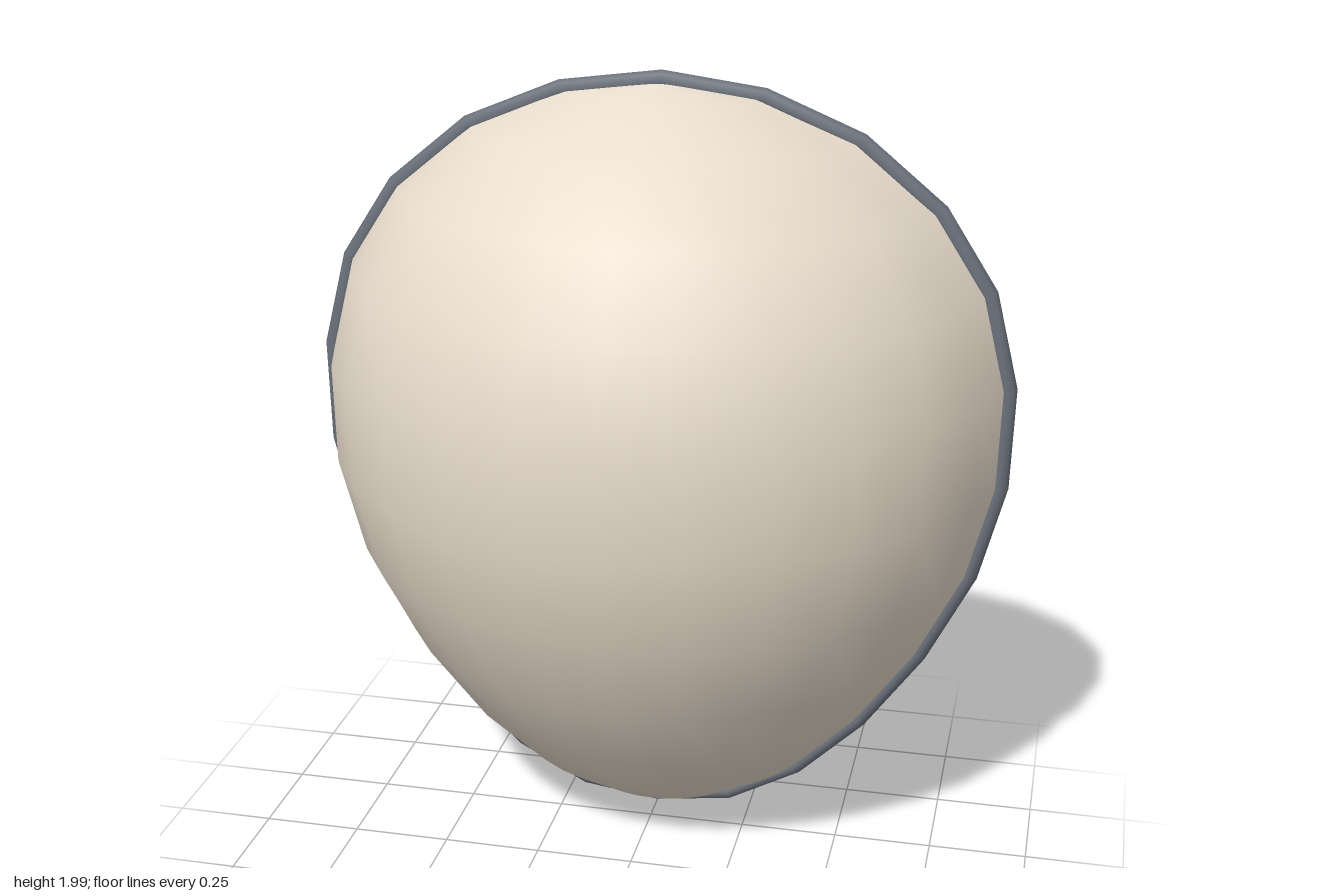
import * as THREE from 'three';

// Rows from top to bottom: [height, half width at the rim, z of the front centre line]
const RIM_Z = -0.34;
const AXIS_Z = -0.485;
const ROWS = [
  [1.975, 0, RIM_Z], [1.942, 0.25, -0.2], [1.845, 0.485, 0], [1.685, 0.68, 0.18],
  [1.49, 0.807, 0.31], [1.255, 0.867, 0.365], [1.0, 0.862, 0.36], [0.755, 0.8, 0.3],
  [0.52, 0.682, 0.18], [0.315, 0.535, 0.04], [0.157, 0.372, -0.11], [0.06, 0.195, -0.25],
  [0.034, 0, RIM_Z],
];

// Egg-shaped bowl: every row is an elliptical arc that ends on the rim plane
function shellGeometry(segments = 12) {
  const positions = [];
  const indices = [];
  for (const [y, halfWidth, frontZ] of ROWS) {
    const depth = frontZ - AXIS_Z;
    const limit = Math.acos(Math.min(1, (RIM_Z - AXIS_Z) / depth));
    const radius = halfWidth > 0 ? halfWidth / Math.sin(limit) : 0;
    for (let j = 0; j <= segments; j++) {
      const a = limit * (2 * j / segments - 1);
      positions.push(radius * Math.sin(a), y, AXIS_Z + depth * Math.cos(a));
    }
  }
  const stride = segments + 1;
  const last = ROWS.length - 2;
  for (let i = 0; i <= last; i++) {
    for (let j = 0; j < segments; j++) {
      const a = i * stride + j;
      const b = a + stride;
      if (i < last) indices.push(a, b, b + 1);
      if (i > 0) indices.push(a, b + 1, a + 1);
      if (i === last) indices.push(a, b, a + 1);
    }
  }
  const geometry = new THREE.BufferGeometry();
  geometry.setAttribute('position', new THREE.Float32BufferAttribute(positions, 3));
  geometry.setIndex(indices);
  geometry.computeVertexNormals();
  return geometry;
}

// Round bead following the open edge, with one joint at each row end
function rimGeometry() {
  const right = ROWS.map(([y, x]) => new THREE.Vector3(x, y, RIM_Z));
  const left = ROWS.slice(1, -1).reverse().map(([y, x]) => new THREE.Vector3(-x, y, RIM_Z));
  const points = [...right, ...left];
  const curve = new THREE.CatmullRomCurve3(points, true);
  curve.getPointAt = (t, target) => curve.getPoint(t, target);
  curve.getTangentAt = (t, target) => curve.getTangent(t, target);
  return new THREE.TubeGeometry(curve, points.length, 0.025, 8, true);
}

export function createModel() {
  const model = new THREE.Group();
  model.name = 'eggShapedBowl';

  const shell = new THREE.Mesh(
    shellGeometry(),
    new THREE.MeshStandardMaterial({ color: 0xe8dccb, side: THREE.DoubleSide }),
  );
  shell.name = 'shell';

  const rim = new THREE.Mesh(rimGeometry(), new THREE.MeshStandardMaterial({ color: 0x6b727c }));
  rim.name = 'rim';

  model.add(shell, rim);
  return model;
}
